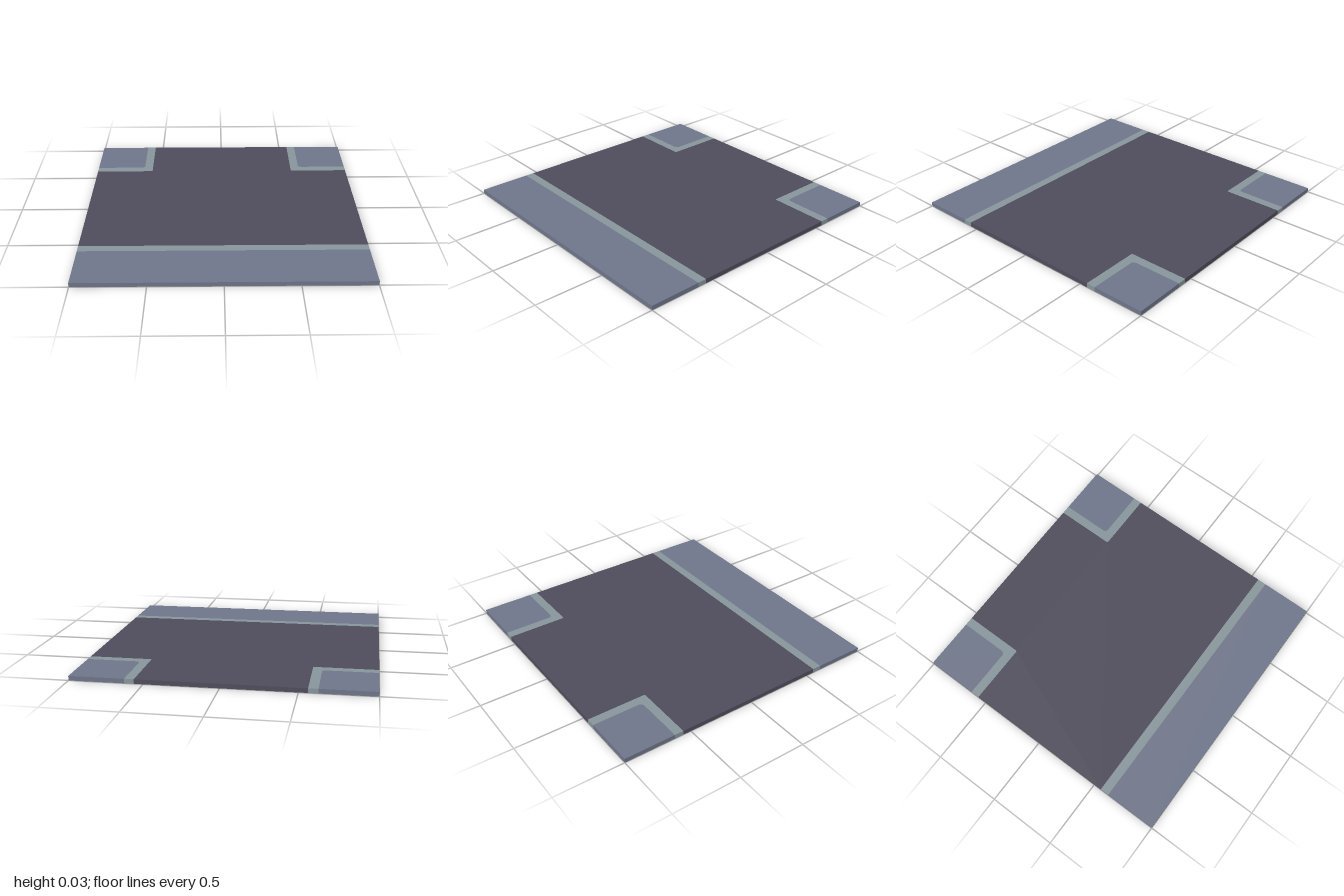
import * as THREE from 'three';

const HEIGHT = 0.031;
const KERB = 0.56;   // road side of the kerb
const PAVE = 0.625;  // pavement side of the kerb
const R_KERB = 0.01, R_PAVE = 0.03;

const material = (name, color) => {
  const m = new THREE.MeshStandardMaterial({ color });
  m.name = name;
  return m;
};

// Adds a rounded inner corner, from the side edge to the back edge or reversed
function cornerPath(path, s, d, r, reverse = false) {
  const pts = [[s, d], [s * (d + r), d], [s * d, d], [s * d, d + r], [s * d, 1]];
  if (reverse) pts.reverse();
  const [a, b, c, e, f] = pts;
  path.lineTo(...a);
  path.lineTo(...b);
  path.quadraticCurveTo(...c, ...e);
  path.lineTo(...f);
}

export function createModel() {
  const group = new THREE.Group();
  group.name = 'roadJunctionTile';
  const asphalt = material('asphalt', 0x4f4d5b);
  const kerbStone = material('kerb stone', 0x87969b);
  const paving = material('paving', 0x6f768a);

  // Plan outlines use shape y = -z, laid flat and raised to the tile height
  const slab = (name, shape, mat) => {
    const geo = new THREE.ExtrudeGeometry(shape, { depth: HEIGHT, bevelEnabled: false, curveSegments: 6 });
    geo.rotateX(-Math.PI / 2);
    const mesh = new THREE.Mesh(geo, mat);
    mesh.name = name;
    group.add(mesh);
  };
  const strip = (z0, z1) => new THREE.Shape([
    new THREE.Vector2(-1, -z1), new THREE.Vector2(1, -z1),
    new THREE.Vector2(1, -z0), new THREE.Vector2(-1, -z0),
  ]);

  // T-shaped carriageway
  const road = new THREE.Shape();
  road.moveTo(-1, -KERB);
  road.lineTo(1, -KERB);
  cornerPath(road, 1, KERB, R_KERB);
  cornerPath(road, -1, KERB, R_KERB, true);
  road.closePath();
  slab('road', road, asphalt);

  // Straight kerb and pavement along the front
  slab('frontKerb', strip(KERB, PAVE), kerbStone);
  slab('frontPavement', strip(PAVE, 1), paving);

  // Mirrored back corners
  for (const [side, s] of [['left', 1], ['right', -1]]) {
    const kerb = new THREE.Shape();
    kerb.moveTo(s, PAVE);
    cornerPath(kerb, s, KERB, R_KERB);
    cornerPath(kerb, s, PAVE, R_PAVE, true);
    slab(side + 'CornerKerb', kerb, kerbStone);

    const pavement = new THREE.Shape();
    pavement.moveTo(s, 1);
    cornerPath(pavement, s, PAVE, R_PAVE);
    pavement.closePath();
    slab(side + 'CornerPavement', pavement, paving);
  }
  return group;
}
